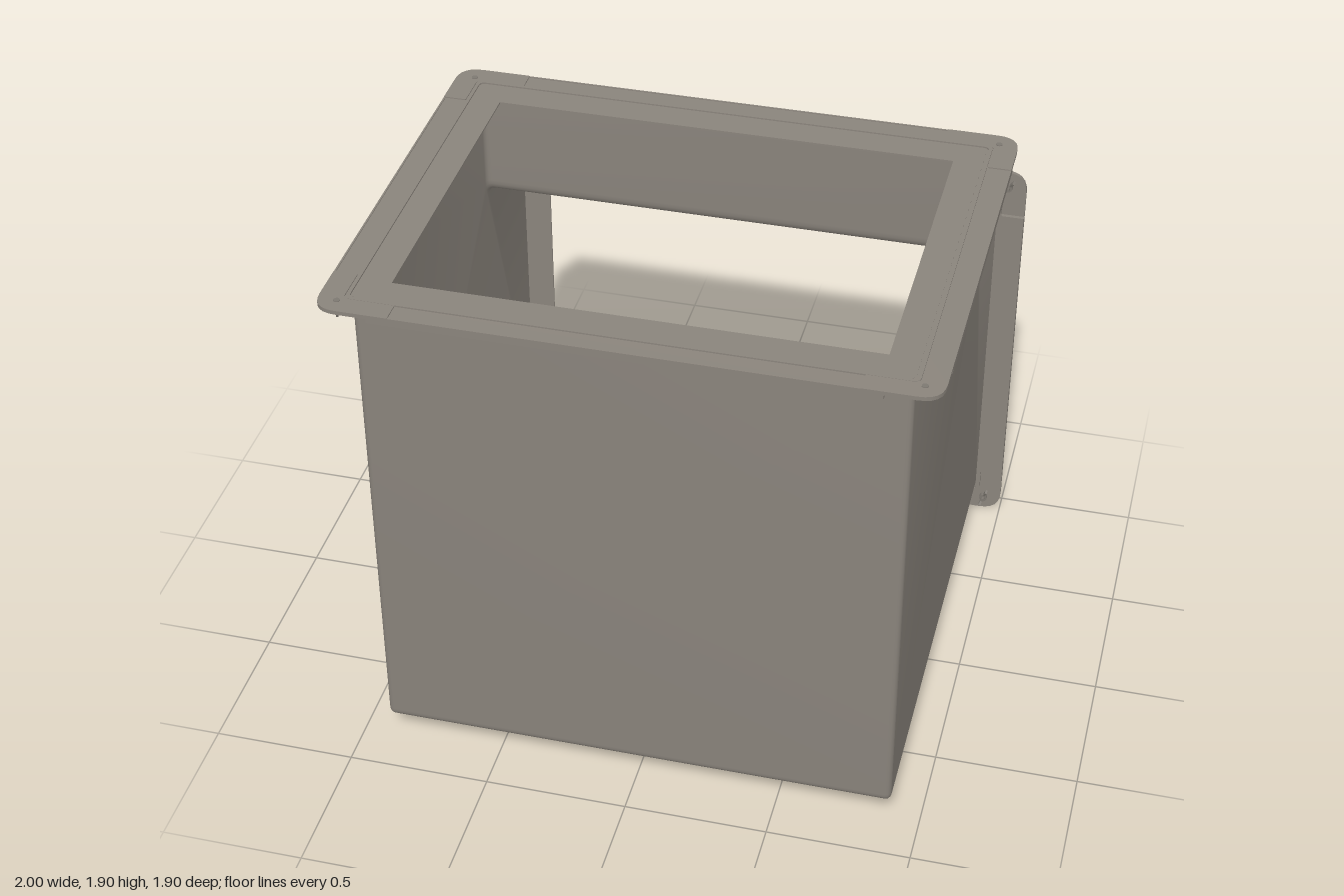
import * as THREE from 'three';
import { toCreasedNormals } from 'three/addons/utils/BufferGeometryUtils.js';

const steel = new THREE.MeshStandardMaterial({ color: 0x8a847c, side: THREE.DoubleSide });
steel.name = 'warm grey steel';
const darkSteel = new THREE.MeshStandardMaterial({ color: 0x7d7871 });
darkSteel.name = 'fastener steel';

// Polygon from [x, y, cornerRadius] points
function roundedPath(points, Type = THREE.Shape) {
  const path = new Type();
  const n = points.length;
  points.forEach(([x, y, r = 0], i) => {
    const p = new THREE.Vector2(x, y);
    const toward = (q) => p.clone().add(new THREE.Vector2(q[0] - x, q[1] - y).setLength(r));
    const a = r ? toward(points[(i + n - 1) % n]) : p;
    if (i === 0) path.moveTo(a.x, a.y); else path.lineTo(a.x, a.y);
    if (r) {
      const b = toward(points[(i + 1) % n]);
      path.quadraticCurveTo(x, y, b.x, b.y);
    }
  });
  path.closePath();
  return path;
}

function rect(w, h, r, Type) {
  return roundedPath([[-w / 2, -h / 2, r], [w / 2, -h / 2, r], [w / 2, h / 2, r], [-w / 2, h / 2, r]], Type);
}

function add(parent, name, geometry, x = 0, y = 0, z = 0, material = steel) {
  const mesh = new THREE.Mesh(geometry, material);
  mesh.name = name;
  mesh.position.set(x, y, z);
  parent.add(mesh);
  return mesh;
}

function extrude(shape, depth) {
  const g = new THREE.ExtrudeGeometry(shape, { depth, curveSegments: 6, bevelEnabled: false });
  return toCreasedNormals(g, 0.6);
}

// Flat frame whose outward face lies at z = top
function addFrame(parent, name, w, h, r, iw, ih, ir, top, depth) {
  const shape = rect(w, h, r);
  shape.holes.push(rect(iw, ih, ir, THREE.Path));
  add(parent, name, extrude(shape, depth), 0, 0, top - depth);
}

// Thin sheet-metal elbow: a rounded solid clipped and left open at its top and back ends
function ductShell(top, back) {
  const bevel = 0.02, over = 0.03;
  const profile = roundedPath([
    [0.86, top + over], [-0.5, top + over], [-0.5, 1.45, 0.05],
    [back - over, 1.45], [back - over, 0.1], [0.86, 0.1, 0.035],
  ]);
  const solid = new THREE.ExtrudeGeometry(profile, {
    depth: 1.8 - 2 * bevel, curveSegments: 6, bevelSize: bevel,
    bevelThickness: bevel, bevelOffset: -bevel, bevelSegments: 3,
  });
  const pos = solid.attributes.position;
  const kept = [];
  for (let i = 0; i < pos.count; i += 3) {
    const tri = [0, 1, 2].map((k) => [
      Math.max(pos.getX(i + k), back), Math.min(pos.getY(i + k), top), pos.getZ(i + k) + bevel - 0.9]);
    const onEnd = tri.every((v) => v[1] > top - 1e-5) || tri.every((v) => v[0] < back + 1e-5);
    if (!onEnd) kept.push(...tri.flat());
  }
  const g = new THREE.BufferGeometry();
  g.setAttribute('position', new THREE.Float32BufferAttribute(kept, 3));
  g.rotateY(-Math.PI / 2);
  return toCreasedNormals(g, 0.6);
}

// Wing nut behind a flange corner, with its bolt head in front
function wingNut(angle) {
  const nut = new THREE.Group();
  nut.name = 'wingNut';
  const cyl = (r, len, sides) => new THREE.CylinderGeometry(r, r, len, sides).rotateX(Math.PI / 2);
  add(nut, 'boltShank', cyl(0.007, 0.046, 10), 0, 0, -0.026, darkSteel);
  add(nut, 'nutBody', cyl(0.015, 0.018, 12), 0, 0, -0.026, darkSteel);
  add(nut, 'boltHead', cyl(0.011, 0.004, 12), 0, 0, -0.001, darkSteel);
  for (const s of [-1, 1]) {
    const wing = add(nut, 'nutWing', new THREE.BoxGeometry(0.026, 0.008, 0.016), s * 0.023, 0, -0.031, darkSteel);
    wing.rotation.y = s * 0.4;
  }
  nut.rotation.z = angle;
  return nut;
}

// Connection flange around a duct end of depth bodyH, facing local +z
function flange(name, w, h, bodyH) {
  const g = new THREE.Group();
  g.name = name;
  addFrame(g, 'openingRim', 1.8, bodyH, 0.02, 1.6, 1.15, 0, -0.004, 0.006);
  addFrame(g, 'flangePlate', w, h, 0.08, 1.8, bodyH, 0.02, -0.005, 0.01);
  addFrame(g, 'sealingRidge', 1.835, bodyH + 0.035, 0.025, 1.81, bodyH + 0.01, 0.02, 0, 0.028);

  // Folded rails between the corners
  for (const s of [-1, 1]) {
    add(g, 'longRail', new THREE.BoxGeometry(w - 0.36, 0.08, 0.015), 0, s * (h / 2 - 0.043), -0.022);
    add(g, 'longRailLip', new THREE.BoxGeometry(w - 0.36, 0.006, 0.027), 0, s * (h / 2 - 0.003), -0.016);
    add(g, 'shortRail', new THREE.BoxGeometry(0.08, h - 0.36, 0.015), s * (w / 2 - 0.043), 0, -0.022);
    add(g, 'shortRailLip', new THREE.BoxGeometry(0.006, h - 0.36, 0.027), s * (w / 2 - 0.003), 0, -0.016);
  }

  // Angled corner plates with fasteners
  const cornerPlate = (armX, armY) => extrude(roundedPath([
    [0, 0, 0.08], [0, -armY], [-0.08, -armY], [-0.08, -0.08, 0.01], [-armX, -0.08], [-armX, 0],
  ]), 0.004);
  const plates = [cornerPlate(0.25, 0.21), cornerPlate(0.21, 0.25)];
  [[1, 1], [-1, 1], [-1, -1], [1, -1]].forEach(([sx, sy], q) => {
    const plate = add(g, 'cornerPlate', plates[q % 2], sx * w / 2, sy * h / 2, -0.005);
    plate.rotation.z = q * Math.PI / 2;
    const nut = wingNut([1.4, 2.2, 1.9, 0.4][q]);
    nut.position.set(sx * (w / 2 - 0.065), sy * (h / 2 - 0.058), 0);
    g.add(nut);
  });
  return g;
}

export function createModel() {
  const model = new THREE.Group();
  model.name = 'ductElbow';
  add(model, 'ductShell', ductShell(1.894, -0.939));

  const topFlange = flange('topFlange', 2, 1.54, 1.36);
  topFlange.rotation.x = -Math.PI / 2;
  topFlange.position.set(0, 1.9, 0.18);
  model.add(topFlange);

  const backFlange = flange('backFlange', 2, 1.545, 1.35);
  backFlange.rotation.y = Math.PI;
  backFlange.position.set(0, 0.7735, -0.945);
  model.add(backFlange);
  return model;
}
